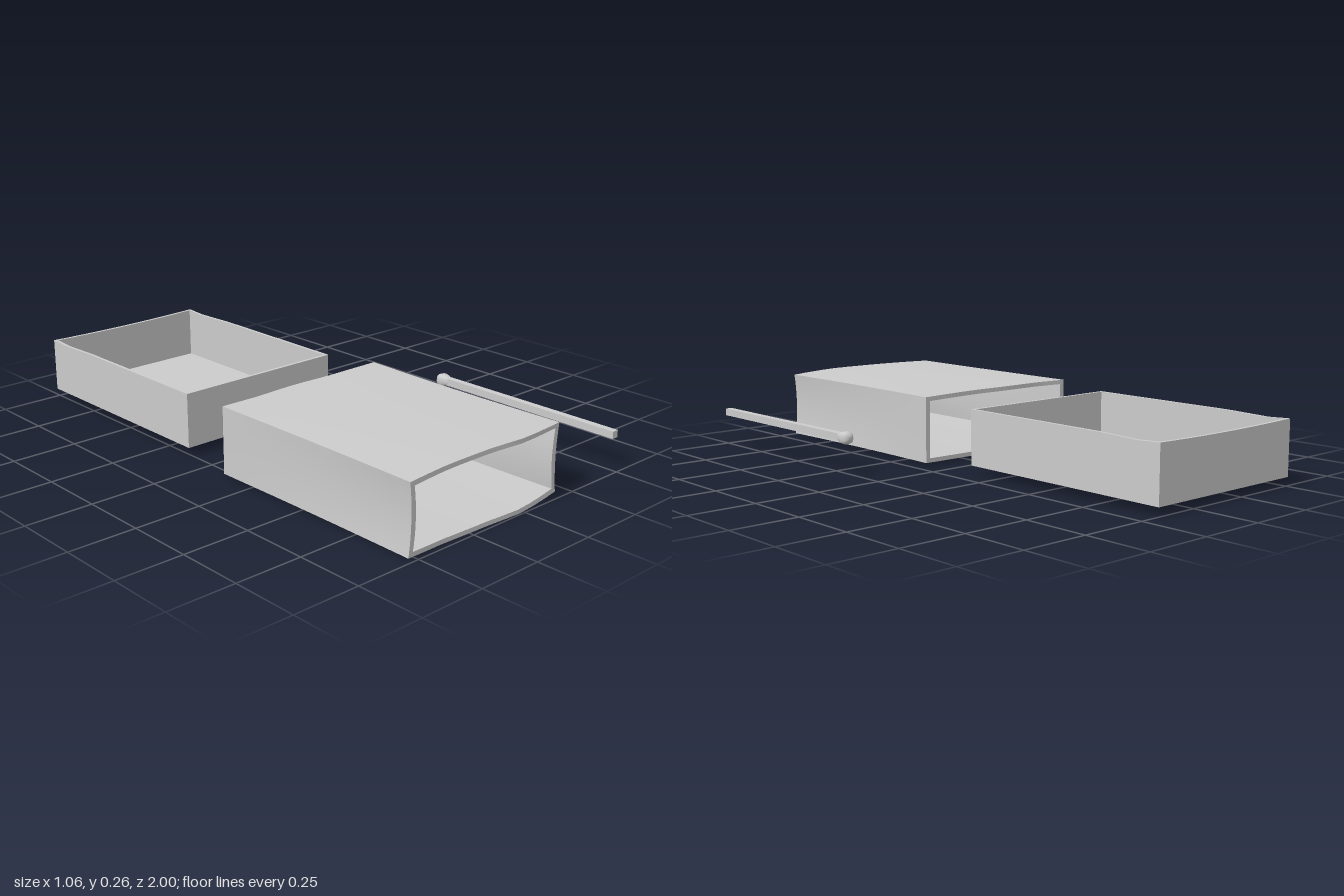
import * as THREE from 'three';
import { toCreasedNormals, mergeVertices } from 'three/addons/utils/BufferGeometryUtils.js';

const SEG = 10; // segments along each wall

// Points of a square path (-1..1), counterclockwise
function squarePath() {
  const pts = [];
  const corners = [[1, -1], [1, 1], [-1, 1], [-1, -1]];
  for (let c = 0; c < 4; c++) {
    const [x0, y0] = corners[c], [x1, y1] = corners[(c + 1) % 4];
    for (let k = 0; k < SEG; k++) {
      const t = k / SEG;
      pts.push([x0 + (x1 - x0) * t, y0 + (y1 - y0) * t]);
    }
  }
  return pts;
}

// Skin a closed run of loops: outer wall, rim, inner wall, rim
function skin(loops) {
  const n = loops[0].length, m = loops.length, index = [];
  for (let i = 0; i < m; i++) {
    for (let j = 0; j < n; j++) {
      const i2 = (i + 1) % m, j2 = (j + 1) % n;
      const a = i * n + j, b = i * n + j2, c = i2 * n + j, d = i2 * n + j2;
      index.push(a, b, c, b, d, c);
    }
  }
  const g = new THREE.BufferGeometry();
  g.setAttribute('position', new THREE.Float32BufferAttribute(loops.flat(2), 3));
  g.setIndex(index);
  return toCreasedNormals(g, 0.6);
}

// Piecewise-linear lookup through [x, value] pairs
function lookup(pairs, x) {
  for (let i = 1; i < pairs.length; i++) {
    const [x0, v0] = pairs[i - 1], [x1, v1] = pairs[i];
    if (x <= x1 || i === pairs.length - 1) return v0 + (v1 - v0) * THREE.MathUtils.clamp((x - x0) / (x1 - x0), 0, 1);
  }
}

function sleeveGeometry() {
  const path = squarePath(), steps = 10;
  const front = [[-1, 0.987], [-0.55, 0.98], [0, 0.985], [0.45, 0.997], [0.75, 0.985], [1, 0.972]];
  const back = [[-1, 0.108], [-0.6, 0.115], [-0.1, 0.108], [0.3, 0.116], [1, 0.109]];
  const loop = (t, wall) => path.map(([u, v]) => {
    const swell = (0.003 + 0.005 * t) * (1 - u * u); // bowed top and bottom
    const pinch = 0.009 * (1 - v * v) * t + 0.008 * Math.sin(Math.PI * t) * (u > 0 ? 1 : 0.4); // worn sides
    return [
      -0.17 + u * (0.361 - wall - pinch),
      0.136 + v * (0.124 - wall * 0.85 + swell),
      THREE.MathUtils.lerp(lookup(back, u), lookup(front, u), t),
    ];
  });
  const loops = [];
  for (let i = 0; i <= steps; i++) loops.push(loop(i / steps, 0));
  for (let i = steps; i >= 0; i--) loops.push(loop(i / steps, 0.019));
  return skin(loops);
}

function trayWallGeometry() {
  const path = squarePath();
  const loop = (top, wall) => path.map(([u, v]) => {
    // slightly worn rim near the back
    const dip = 0.006 * Math.max(0, 1 - Math.abs(v - 0.75) / 0.25) + (v > 0.99 ? 0.005 * (1 - u * u) : 0);
    return [-0.17 + u * (0.34 - wall), top ? 0.24 - dip : 0.045, -0.56 - v * (0.44 - wall)];
  });
  return skin([loop(false, 0), loop(true, 0), loop(true, 0.012), loop(false, 0.012)]);
}

// Teardrop head with a softly squared section
function headGeometry() {
  const profile = [[0, 0], [0.011, 0.002], [0.019, 0.009], [0.023, 0.02], [0.023, 0.03],
    [0.02, 0.043], [0.015, 0.058], [0.011, 0.075]].map(([x, y]) => new THREE.Vector2(x, y));
  const g = new THREE.LatheGeometry(profile, 24);
  const p = g.attributes.position;
  for (let i = 0; i < p.count; i++) {
    const a = Math.atan2(p.getZ(i), p.getX(i));
    const k = Math.pow(Math.cos(a) ** 4 + Math.sin(a) ** 4, -0.18);
    p.setX(i, p.getX(i) * k);
    p.setZ(i, p.getZ(i) * k);
  }
  g.deleteAttribute('normal');
  g.deleteAttribute('uv');
  const smooth = mergeVertices(g, 1e-5);
  smooth.computeVertexNormals();
  return smooth.rotateX(Math.PI / 2);
}

export function createModel() {
  const model = new THREE.Group();
  model.name = 'matchboxAndMatch';
  const material = new THREE.MeshStandardMaterial({ color: 0xcccccc });
  const add = (parent, name, geometry, x = 0, y = 0, z = 0) => {
    const mesh = new THREE.Mesh(geometry, material);
    mesh.name = name;
    mesh.position.set(x, y, z);
    parent.add(mesh);
  };

  // Open-ended outer sleeve
  add(model, 'sleeve', sleeveGeometry());

  // Sliding tray
  const tray = new THREE.Group();
  tray.name = 'tray';
  add(tray, 'trayWalls', trayWallGeometry());
  add(tray, 'trayFloor', new THREE.BoxGeometry(0.68, 0.01, 0.88), -0.17, 0.04, -0.56);
  model.add(tray);

  // Single match
  const match = new THREE.Group();
  match.name = 'match';
  add(match, 'matchStick', new THREE.BoxGeometry(0.027, 0.027, 0.78), 0.505, 0.137, 0.59);
  add(match, 'matchHead', headGeometry(), 0.505, 0.137, 0.152);
  model.add(match);

  return model;
}
